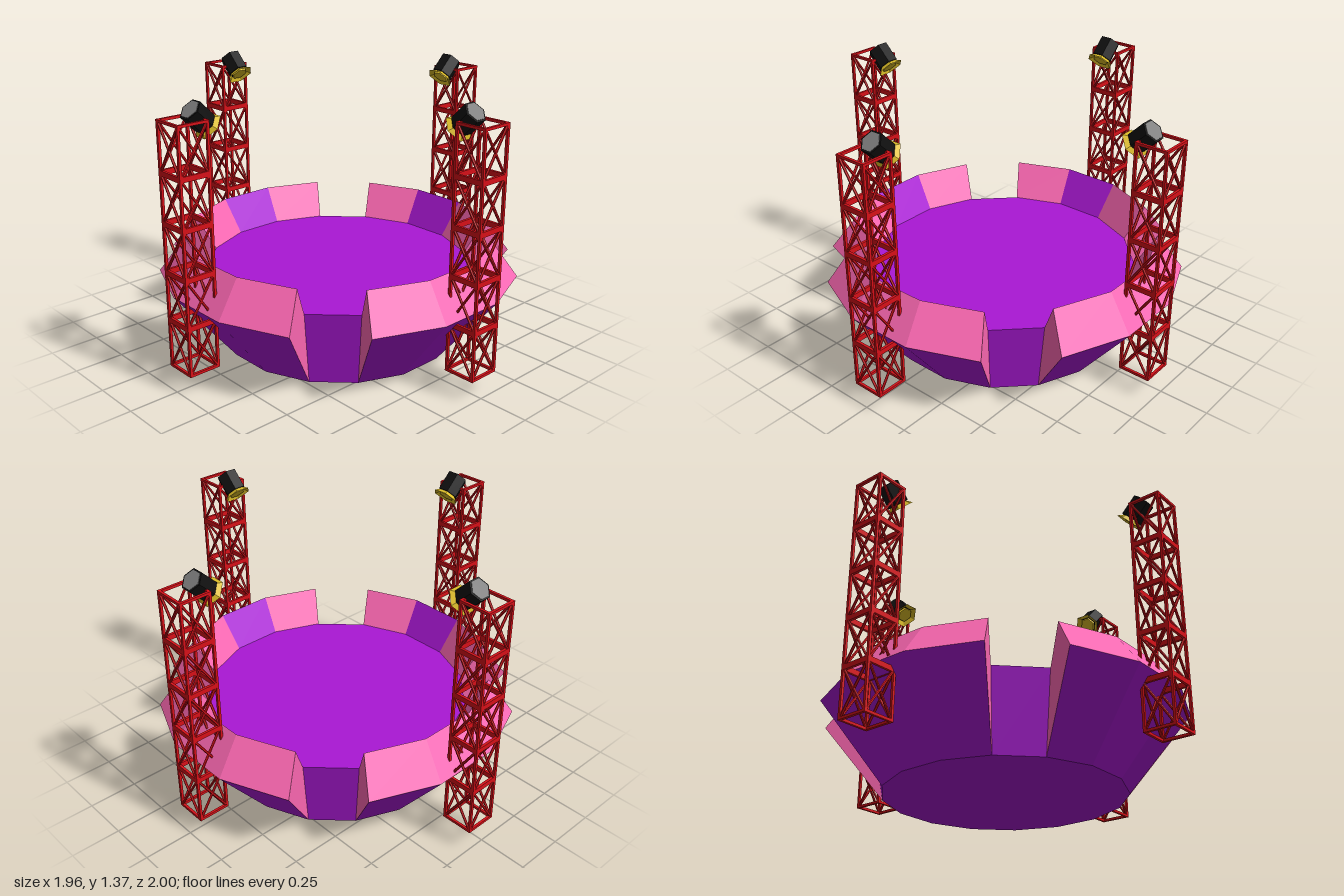
import * as THREE from 'three';
import { mergeGeometries } from 'three/addons/utils/BufferGeometryUtils.js';

const mat = (color, extra = {}) =>
  new THREE.MeshStandardMaterial({ color, flatShading: true, ...extra });
const purple = mat(0xaa18d4);
const pink = mat(0xff69b4);
const red = mat(0xd81018);
const black = mat(0x101010);
const grey = mat(0x808080);
const yellow = mat(0xe0c028, { side: THREE.DoubleSide });

const SIDES = 16;
const STEP = (Math.PI * 2) / SIDES;
const toCorner = 1 / Math.cos(STEP / 2); // flat distance to corner radius

function addMesh(parent, name, geometry, material) {
  const mesh = new THREE.Mesh(geometry, material);
  mesh.name = name;
  parent.add(mesh);
  return mesh;
}

// Flat-faced geometry from a list of four-cornered faces
function quads(faces) {
  const pos = [];
  for (const [a, b, c, d] of faces)
    for (const p of [a, b, c, a, c, d]) pos.push(p.x, p.y, p.z);
  const g = new THREE.BufferGeometry();
  g.setAttribute('position', new THREE.Float32BufferAttribute(pos, 3));
  g.computeVertexNormals();
  return g;
}

// Wall section: three facets of a sloping ring with a peaked rim
function makeWall() {
  const wall = new THREE.Group();
  wall.name = 'wallSection';
  const profile = [[0.59, 0], [0.9, 0.39], [0.77, 0.565], [0.663, 0.39]];
  const ring = (i) => profile.map(([r, y]) => {
    const a = (i - 1.5) * STEP;
    return new THREE.Vector3(Math.sin(a) * r * toCorner, y, Math.cos(a) * r * toCorner);
  });
  const purpleFaces = [], pinkFaces = [];
  for (let i = 0; i < 3; i++) {
    const p = ring(i), q = ring(i + 1);
    const face = (k) => [p[k], q[k], q[k + 1], p[k + 1]];
    purpleFaces.push(face(0));
    pinkFaces.push(face(1));
    (i === 1 ? purpleFaces : pinkFaces).push(face(2)); // entrance ramp in the middle
  }
  pinkFaces.push(ring(0), ring(3).reverse()); // end caps
  addMesh(wall, 'wallPanels', quads(purpleFaces), purple);
  addMesh(wall, 'wallRim', quads(pinkFaces), pink);
  return wall;
}

// Straight bar between two points
function bar(a, b, width, height, round = false) {
  const dir = b.clone().sub(a);
  const g = round
    ? new THREE.CylinderGeometry(width / 2, width / 2, dir.length(), 6).rotateX(Math.PI / 2)
    : new THREE.BoxGeometry(width, height, dir.length());
  const o = new THREE.Object3D();
  o.position.copy(a).add(b).multiplyScalar(0.5);
  o.lookAt(b);
  o.updateMatrix();
  return g.applyMatrix4(o.matrix);
}

// Square lattice tower of five cross-braced bays
function makeTower() {
  const bays = 5, y0 = 0.112, y1 = 1.29, h = 0.076, t = 0.013;
  const corner = (i, y) => new THREE.Vector3(
    [h, h, -h, -h][i % 4], y, [h, -h, -h, h][i % 4]);
  const parts = [];
  for (let s = 0; s < 4; s++) {
    parts.push(bar(corner(s, y0 - t / 2), corner(s, y1 + t / 2), t, t));
    for (let k = 0; k <= bays; k++) {
      const y = y0 + ((y1 - y0) * k) / bays;
      const tall = k > 0 && k < bays ? 0.026 : t;
      parts.push(bar(corner(s, y), corner(s + 1, y), t, tall));
      if (k === bays) continue;
      const top = y + (y1 - y0) / bays;
      parts.push(bar(corner(s, y), corner(s + 1, top), t, t, true));
      parts.push(bar(corner(s, top), corner(s + 1, y), t, t, true));
    }
  }
  return mergeGeometries(parts);
}

// Six-sided spotlight, its axis along y with the beam pointing to -y
function makeSpotlight() {
  const light = new THREE.Group();
  light.name = 'spotlight';
  const hex = (top, bottom, length, y, open = false) =>
    new THREE.CylinderGeometry(top, bottom, length, 6, 1, open, Math.PI / 2)
      .translate(0, y, 0);
  addMesh(light, 'lampHousing', hex(0.057, 0.057, 0.105, 0), black);
  addMesh(light, 'lampBackPlate', hex(0.048, 0.048, 0.004, 0.053), grey);
  addMesh(light, 'lampShade', hex(0.04, 0.073, 0.026, -0.06, true), yellow);
  addMesh(light, 'lampLens', hex(0.042, 0.042, 0.018, -0.058), yellow);
  return light;
}

export function createModel() {
  const model = new THREE.Group();
  model.name = 'arena';

  // Bowl: solid core with four wall sections around it
  const bowl = new THREE.Group();
  bowl.name = 'bowl';
  bowl.position.set(0.017, 0, 0.012);
  model.add(bowl);
  addMesh(bowl, 'floorCore', new THREE.CylinderGeometry(
    0.663 * toCorner, 0.59 * toCorner, 0.39, SIDES, 1, false, STEP / 2)
    .translate(0, 0.195, 0), purple);

  // Lighting towers, one behind each wall section
  const towerGeometry = makeTower();
  const spots = [[0.015, 0.915], [0.895, 0.012], [0.018, -0.917], [-0.9, 0.012]];
  spots.forEach(([x, z], i) => {
    const angle = (i * Math.PI) / 2;
    const wall = makeWall();
    wall.rotation.y = angle;
    bowl.add(wall);

    const tower = new THREE.Group();
    tower.name = 'lightTower';
    tower.position.set(x, 0, z);
    tower.rotation.y = angle;
    addMesh(tower, 'lattice', towerGeometry, red);
    const light = makeSpotlight();
    light.position.set(0, 1.295, -0.08);
    light.rotation.x = Math.PI / 4;
    tower.add(light);
    model.add(tower);
  });
  return model;
}
